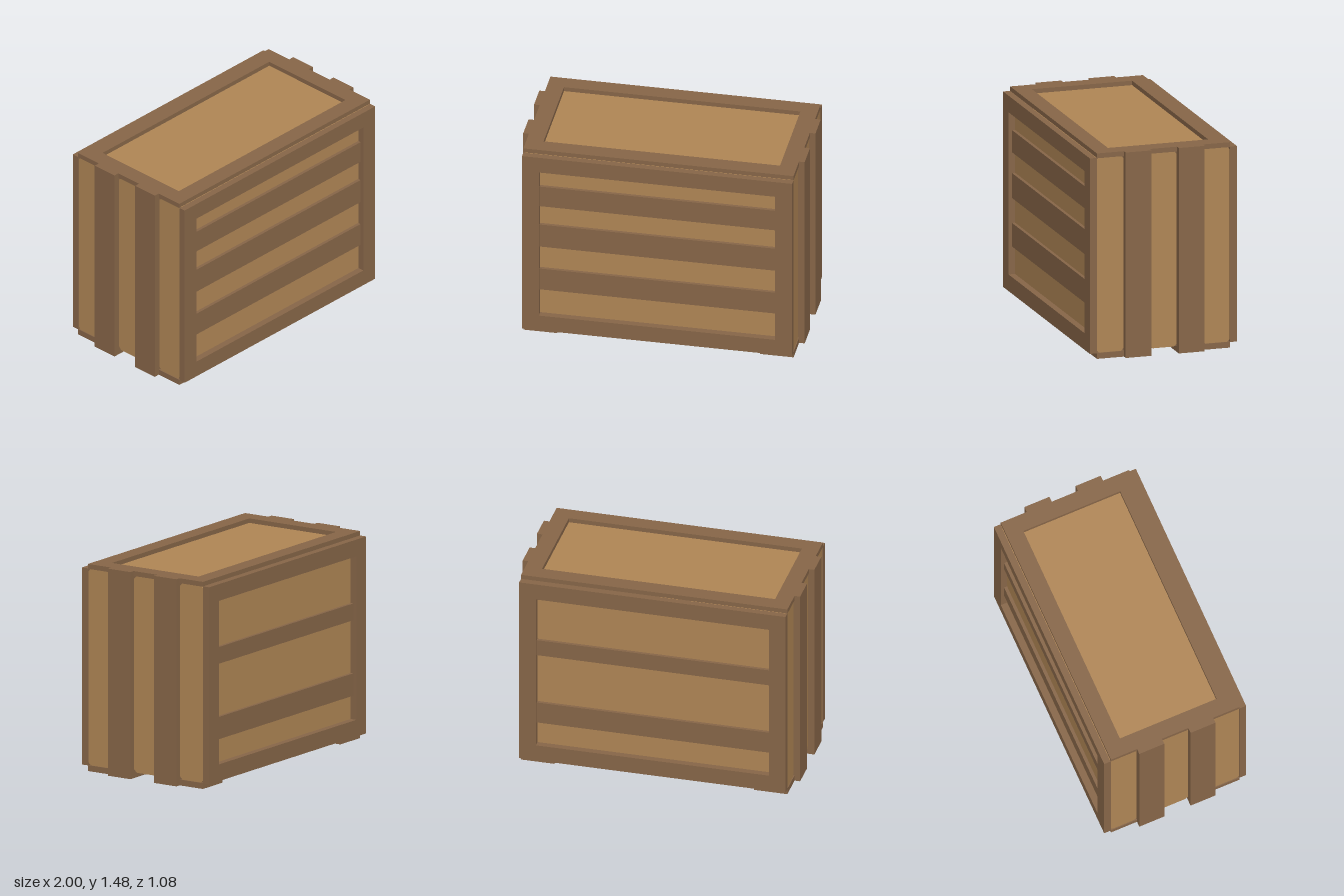
import * as THREE from 'three';

export function createModel() {
  const model = new THREE.Group();
  model.name = 'crate';
  const wood = (name, color) => {
    const mat = new THREE.MeshStandardMaterial({ color });
    mat.name = name;
    return mat;
  };
  const panelWood = wood('light panel wood', 0xb08655);
  const frameWood = wood('dark frame wood', 0x876648);
  const baseWood = wood('pale base wood', 0xdea87a);

  // Face materials in the order +x, -x, +y, -y, +z, -z
  const footFaces = [frameWood, frameWood, frameWood, panelWood, frameWood, frameWood];
  const bodyFaces = [frameWood, frameWood, panelWood, baseWood, panelWood, panelWood];

  // Box given by its limits on each axis
  function box(name, mat, x0, x1, y0, y1, z0, z1) {
    const mesh = new THREE.Mesh(new THREE.BoxGeometry(x1 - x0, y1 - y0, z1 - z0), mat);
    mesh.position.set((x0 + x1) / 2, (y0 + y1) / 2, (z0 + z1) / 2);
    mesh.name = name;
    model.add(mesh);
  }

  // Rectangular frame with an even border, extruded along +z
  function frame(name, w, h, border, depth) {
    const rect = (Kind, a, b) => new Kind([
      new THREE.Vector2(-a, -b), new THREE.Vector2(a, -b),
      new THREE.Vector2(a, b), new THREE.Vector2(-a, b),
    ]);
    const shape = rect(THREE.Shape, w / 2, h / 2);
    shape.holes.push(rect(THREE.Path, w / 2 - border, h / 2 - border));
    const geo = new THREE.ExtrudeGeometry(shape, { depth, bevelEnabled: false });
    const mesh = new THREE.Mesh(geo, frameWood);
    mesh.name = name;
    model.add(mesh);
    return mesh;
  }

  // Thin upright side panel with clipped corners
  function sidePanel(side, z, width) {
    const a = width / 2, b = 0.705, c = 0.022;
    const shape = new THREE.Shape([
      [-a + c, -b], [a - c, -b], [a, -b + c], [a, b - c],
      [a - c, b], [-a + c, b], [-a, b - c], [-a, -b + c],
    ].map(([x, y]) => new THREE.Vector2(x, y)));
    const geo = new THREE.ExtrudeGeometry(shape, { depth: 0.008, bevelEnabled: false });
    const mesh = new THREE.Mesh(geo, panelWood);
    mesh.name = 'sidePanel';
    mesh.rotation.y = side * Math.PI / 2;
    mesh.position.set(side * 0.945, 0.745, z);
    model.add(mesh);
  }

  // Inner body, seen through every opening
  box('innerBody', bodyFaces, -0.946, 0.946, 0.04, 1.45, -0.492, 0.492);

  // Front and back frames
  frame('frontFrame', 1.92, 1.41, 0.12, 0.052).position.set(0, 0.745, 0.488);
  const back = frame('backFrame', 1.92, 1.41, 0.12, 0.052);
  back.position.set(0, 0.745, -0.488);
  back.rotation.y = Math.PI;

  // Lid frame
  const lid = frame('topFrame', 1.92, 0.976, 0.12, 0.035);
  lid.rotation.x = -Math.PI / 2;
  lid.position.y = 1.447;

  // Cross slats: three on the front, two on the back
  for (const [y0, y1] of [[0.36, 0.53], [0.71, 0.89], [1.04, 1.2]])
    box('frontSlat', frameWood, -0.842, 0.842, y0, y1, 0.48, 0.515);
  for (const [y0, y1] of [[0.33, 0.49], [0.87, 0.99]])
    box('backSlat', frameWood, -0.842, 0.842, y0, y1, -0.515, -0.48);

  for (const s of [-1, 1]) {
    sidePanel(s, 0, 0.2);
    const zIn = Math.min(s * 0.1, s * 0.29), zOut = zIn + 0.19;
    // Runner under the body and upright battens on both sides
    box('bottomRunner', footFaces, -0.94, 0.94, 0, 0.042, zIn, zOut);
    for (const t of [-1, 1]) {
      sidePanel(t, s * 0.39, 0.2);
      const x = Math.min(t * 0.94, t);
      box('sideBatten', footFaces, x, x + 0.06, 0, 1.482, zIn, zOut);
      // Corner foot
      const fx = Math.min(t * 0.72, t * 0.96), fz = Math.min(s * 0.29, s * 0.488);
      box('cornerFoot', footFaces, fx, fx + 0.24, 0, 0.042, fz, fz + 0.198);
    }
  }
  return model;
}
